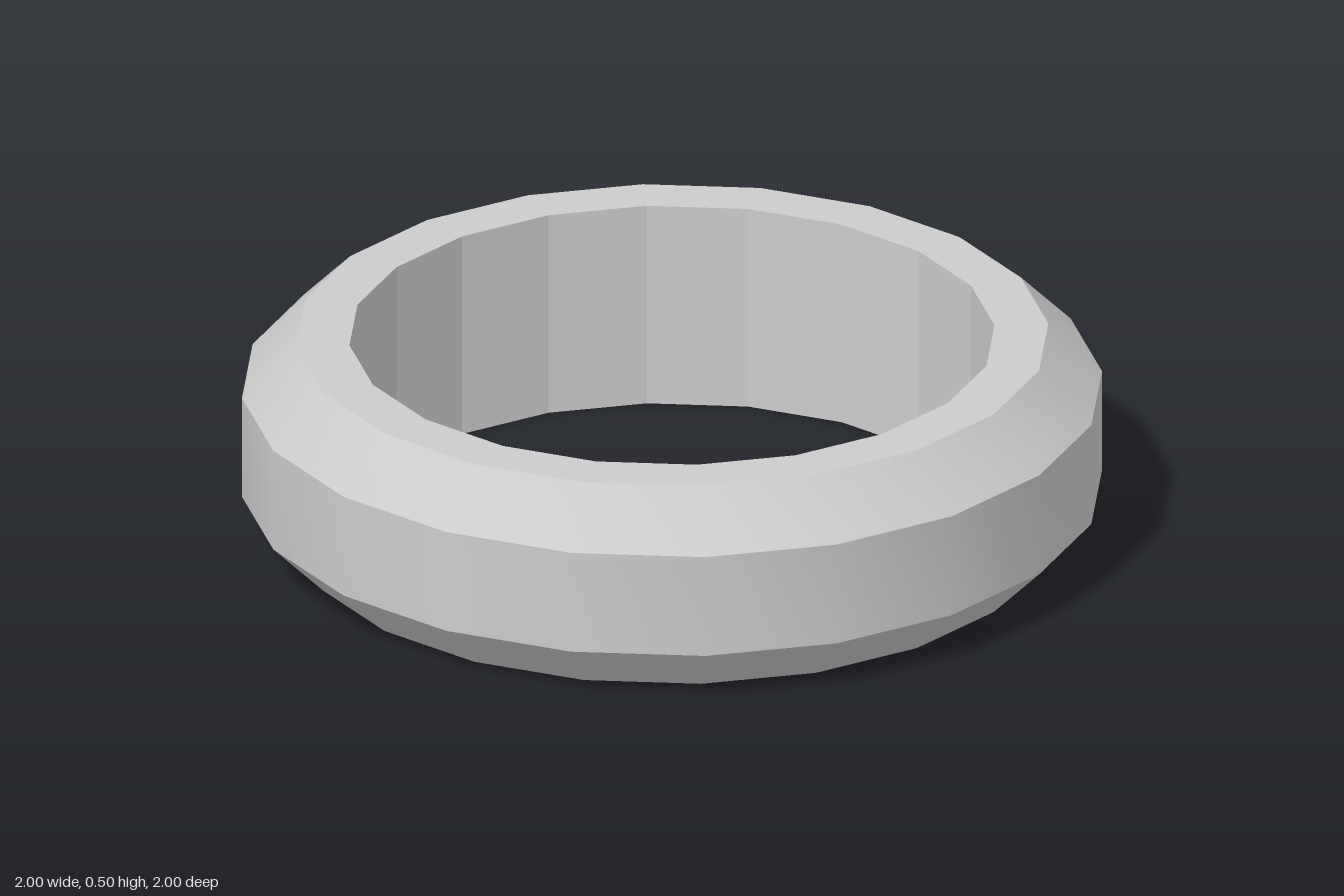
import * as THREE from 'three';
import { toCreasedNormals } from 'three/addons/utils/BufferGeometryUtils.js';

const SIDES = 20;
const INNER = 0.75, RIM = 0.875, OUTER = 1, BEVEL = 0.125, HEIGHT = 0.5;

function lathe(profile) {
  return new THREE.LatheGeometry(profile.map(([r, y]) => new THREE.Vector2(r, y)), SIDES);
}

export function createModel() {
  const model = new THREE.Group();
  model.name = 'ring';

  // Bevelled shell: smooth around the ring, sharp between the bands
  const shell = new THREE.Mesh(
    toCreasedNormals(lathe([
      [INNER, 0], [RIM, 0], [OUTER, BEVEL],
      [OUTER, HEIGHT - BEVEL], [RIM, HEIGHT], [INNER, HEIGHT],
    ]), THREE.MathUtils.degToRad(30)),
    new THREE.MeshStandardMaterial({ color: 0xcccccc })
  );
  shell.name = 'outerBand';

  // Faceted bore, profile running downward so it faces the axis
  const bore = new THREE.Mesh(
    lathe([[INNER, HEIGHT], [INNER, 0]]),
    new THREE.MeshStandardMaterial({ color: 0xcccccc, flatShading: true })
  );
  bore.name = 'innerWall';

  model.add(shell, bore);
  return model;
}
